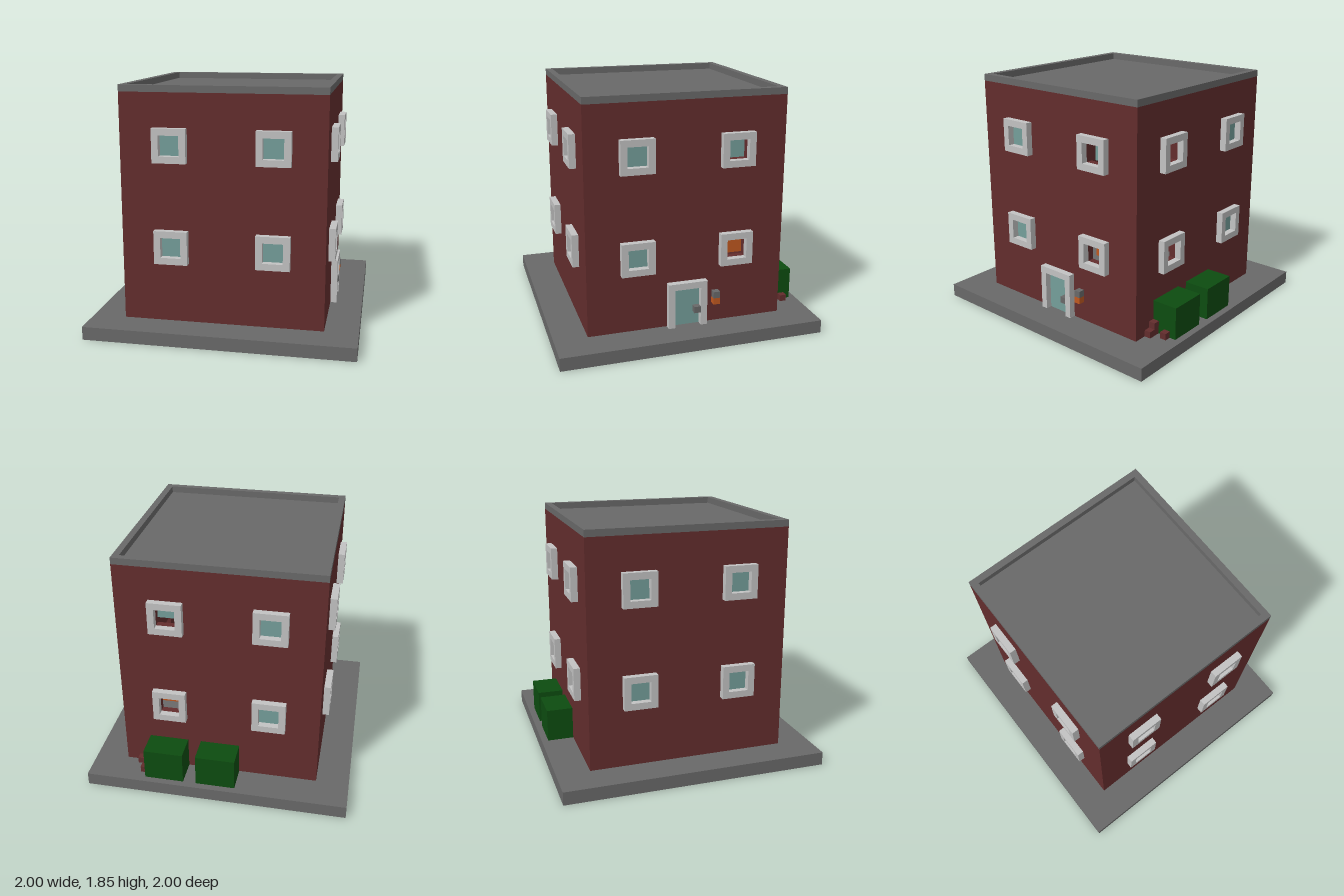
import * as THREE from 'three';

const mat = (name, color) => {
  const m = new THREE.MeshStandardMaterial({ color });
  m.name = name;
  return m;
};

export function createModel() {
  const grey = mat('concrete grey', 0x696969);
  const red = mat('brick red', 0x632d2d);
  const white = mat('frame white', 0xc2c2c2);
  const teal = mat('glass teal', 0x749e9a);
  const orange = mat('lamp orange', 0xc05820);
  const green = mat('bush green', 0x0d4c10);

  const model = new THREE.Group();
  model.name = 'building';

  // Box given by its minimum and maximum corners
  const box = (parent, name, material, a, b) => {
    const mesh = new THREE.Mesh(
      new THREE.BoxGeometry(b[0] - a[0], b[1] - a[1], b[2] - a[2]), material);
    mesh.position.set((a[0] + b[0]) / 2, (a[1] + b[1]) / 2, (a[2] + b[2]) / 2);
    mesh.name = name;
    parent.add(mesh);
    return mesh;
  };

  // Upright panel with rectangular holes, from z0 outwards
  const rect = (Type, x0, y0, x1, y1) => new Type([
    new THREE.Vector2(x0, y0), new THREE.Vector2(x1, y0),
    new THREE.Vector2(x1, y1), new THREE.Vector2(x0, y1)]);
  const panel = (parent, name, material, outline, holes, z0) => {
    const shape = rect(THREE.Shape, ...outline);
    shape.holes = holes.map(h => rect(THREE.Path, ...h));
    const mesh = new THREE.Mesh(
      new THREE.ExtrudeGeometry(shape, { depth: 0.05, bevelEnabled: false }), material);
    mesh.position.z = z0;
    mesh.name = name;
    parent.add(mesh);
  };

  // Ground slab
  box(model, 'groundSlab', grey, [-1, 0, -1], [1, 0.1, 1]);

  // Four walls with two rows of framed windows; open is the unglazed column
  const sides = [
    { name: 'front', turn: 0, half: 0.75, open: 0 },
    { name: 'left', turn: Math.PI / 2, half: 0.7, open: 1 },
    { name: 'back', turn: Math.PI, half: 0.75, open: -1 },
    { name: 'right', turn: -Math.PI / 2, half: 0.7, open: 0 },
  ];
  for (const { name, turn, half, open } of sides) {
    const side = new THREE.Group();
    side.name = name + 'Side';
    side.rotation.y = turn;
    model.add(side);
    const holes = [];
    for (const y of [0.675, 1.425]) for (const s of [-1, 1]) {
      const x = s * 0.375;
      const hole = [x - 0.075, y - 0.075, x + 0.075, y + 0.075];
      holes.push(hole);
      panel(side, 'windowFrame', white,
        [x - 0.125, y - 0.125, x + 0.125, y + 0.125], [hole], 0.75);
      if (s !== open) {
        box(side, 'windowGlass', teal, [hole[0], hole[1], 0.742], [hole[2], hole[3], 0.75]);
      }
    }
    panel(side, name + 'Wall', red, [-half, 0.1, half, 1.8], holes, 0.7);
  }

  // Blocks inside the open corner
  box(model, 'lowerCornerBlock', orange, [0.2, 0.55, -0.55], [0.55, 0.8, -0.2]);
  box(model, 'upperCornerBlock', teal, [0.2, 1.3, -0.55], [0.55, 1.55, -0.2]);

  // Roof deck and parapet
  box(model, 'roofDeck', grey, [-0.7, 1.75, -0.7], [0.7, 1.8, 0.7]);
  for (const s of [-1, 1]) {
    const p = box(model, 'parapet', grey, [-0.75, 1.8, -0.025], [0.75, 1.85, 0.025]);
    p.position.z = s * 0.725;
    const q = box(model, 'parapet', grey, [-0.025, 1.8, -0.7], [0.025, 1.85, 0.7]);
    q.position.x = s * 0.725;
  }

  // Door with frame and handle
  for (const s of [-1, 1]) {
    const jamb = box(model, 'doorJamb', white, [0.75, 0.1, -0.025], [0.8, 0.4, 0.025]);
    jamb.position.z = s * 0.125;
  }
  box(model, 'doorLintel', white, [0.75, 0.4, -0.15], [0.8, 0.45, 0.15]);
  box(model, 'doorGlass', teal, [0.747, 0.1, -0.1], [0.753, 0.4, 0.1]);
  box(model, 'doorHandle', grey, [0.753, 0.2, -0.1], [0.8, 0.25, -0.05]);

  // Wall lamp
  box(model, 'lampCap', grey, [0.75, 0.3, -0.25], [0.8, 0.35, -0.2]);
  box(model, 'lampLight', orange, [0.75, 0.25, -0.25], [0.8, 0.3, -0.2]);

  // Bushes and loose bricks behind the house
  for (const x of [0, 0.4]) {
    box(model, 'bush', green, [x - 0.15, 0.1, -0.95], [x + 0.15, 0.35, -0.75]);
  }
  for (const [x, y, z] of [[0.55, 0.1, -0.8], [0.55, 0.15, -0.8], [0.6, 0.1, -0.8], [0.55, 0.1, -0.9]]) {
    box(model, 'looseBrick', red, [x, y, z], [x + 0.05, y + 0.05, z + 0.05]);
  }

  return model;
}
